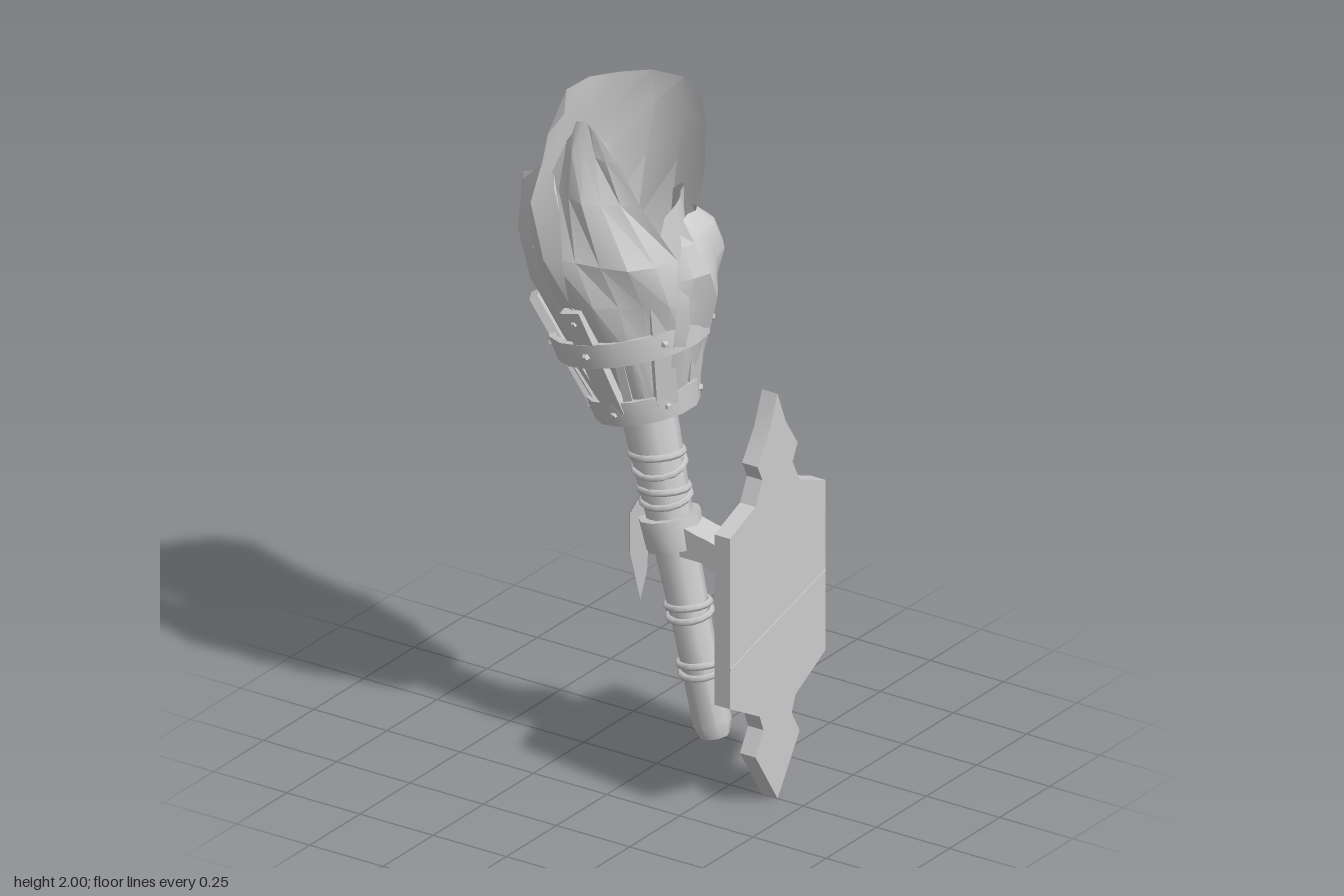
import * as THREE from 'three';
import { toCreasedNormals } from 'three/addons/utils/BufferGeometryUtils.js';

const TILT = 0.235;
const gray = new THREE.MeshStandardMaterial({ color: 0xcccccc, side: THREE.DoubleSide });
gray.name = 'stone gray';

function part(parent, name, geo, crease = 0.6) {
  const mesh = new THREE.Mesh(crease ? toCreasedNormals(geo, crease) : geo, gray);
  mesh.name = name;
  parent.add(mesh);
  return mesh;
}

const shapeOf = (pts) => new THREE.Shape(pts.map(([a, b]) => new THREE.Vector2(a, b)));

// Closed band of given thickness, between two heights and radii
function band(y0, y1, r0, r1, t, sides) {
  const p = [[r0 - t, y0], [r0, y0], [r1, y1], [r1 - t, y1], [r0 - t, y0]];
  return new THREE.LatheGeometry(p.map(([r, y]) => new THREE.Vector2(r, y)), sides);
}

// Curved flame shell; each row is [height, start angle, end angle, radius, centre x, centre z]
function flameGeometry(rows, wobble) {
  const cols = 6, pos = [], idx = [];
  rows.forEach(([y, a0, a1, r, cx, cz], i) => {
    for (let j = 0; j <= cols; j++) {
      const t = j / cols;
      const a = THREE.MathUtils.degToRad(a0 + (a1 - a0) * t);
      const rr = r * (1 + 0.05 * Math.sin(i * 1.9 + j * 1.7 + wobble));
      const drop = i === rows.length - 1 ? 0.04 * (2 * t - 1) ** 4 : 0;
      pos.push(cx + rr * Math.sin(a), y - drop, cz + rr * Math.cos(a));
    }
  });
  for (let i = 0; i < rows.length - 1; i++) {
    for (let j = 0; j < cols; j++) {
      const a = i * (cols + 1) + j, b = a + cols + 1;
      idx.push(a, a + 1, b, a + 1, b + 1, b);
    }
  }
  const g = new THREE.BufferGeometry();
  g.setAttribute('position', new THREE.Float32BufferAttribute(pos, 3));
  g.setIndex(idx);
  return g;
}

function buildTorch(root) {
  const torch = new THREE.Group();
  torch.name = 'torch';
  torch.position.set(0.2, 0.14, 0);
  torch.rotation.z = TILT;
  root.add(torch);

  // Wooden handle running up into the flame
  const profile = [[0, 0], [0.042, 0], [0.056, 0.04], [0.056, 0.3], [0.064, 0.6], [0.08, 0.95], [0.078, 1.55], [0, 1.55]];
  part(torch, 'handle', new THREE.LatheGeometry(profile.map(([r, y]) => new THREE.Vector2(r, y)), 8), 0.8);

  // Cord wraps, slightly askew
  [[0.2, 0.06, 0.12], [0.225, 0.061, -0.06], [0.37, 0.062, 0.1], [0.4, 0.062, -0.06],
    [0.72, 0.069, 0.15], [0.75, 0.07, -0.1], [0.82, 0.073, 0.25], [0.855, 0.075, -0.08]]
    .forEach(([y, r, tip], i) => {
      const wrap = part(torch, 'cordWrap', new THREE.TorusGeometry(r, 0.011, 5, 14), 0);
      wrap.position.y = y;
      wrap.rotation.set(Math.PI / 2 + tip, tip * (i % 2 ? 1 : -0.8), 0);
    });

  // Clamp holding the handle
  part(torch, 'clamp', band(0.575, 0.67, 0.085, 0.09, 0.025, 12));

  // Fire basket hoops; the lower one is thick and reaches the handle
  part(torch, 'lowerHoop', band(0.985, 1.06, 0.15, 0.168, 0.075, 14));
  part(torch, 'upperHoop', band(1.185, 1.26, 0.222, 0.235, 0.02, 16));

  // Wide slats with rivets, and thin stakes between them
  const lean = Math.atan2(0.125, 0.39);
  for (let i = 0; i < 6; i++) {
    const spoke = new THREE.Group();
    spoke.name = 'basketSpoke';
    spoke.rotation.y = i * Math.PI / 3;
    torch.add(spoke);
    const slat = part(spoke, 'slat', new THREE.BoxGeometry(0.066, 0.36, 0.026));
    slat.position.set(0, 1.2, 0.197);
    slat.rotation.x = lean;
    [[1.022, 0.158], [1.222, 0.232], [1.33, 0.252]].forEach(([y, z]) => {
      const rivet = part(spoke, 'rivet', new THREE.CylinderGeometry(0.008, 0.013, 0.014, 5));
      rivet.position.set(0, y, z);
      rivet.rotation.x = Math.PI / 2 + lean;
    });
    [0.36, 0.69].forEach((a, k) => {
      const mount = new THREE.Group();
      mount.name = 'stakeMount';
      mount.rotation.y = a;
      spoke.add(mount);
      const stake = part(mount, 'stake', new THREE.BoxGeometry(0.026, 0.24, 0.02));
      stake.position.set(0, 1.13, 0.166);
      stake.rotation.set(0.34, 0, k ? 0.1 : -0.08);
    });
  }
}

function buildFlames(root) {
  const flames = {
    frontLeftFlame: [[1.15, -70, 5, 0.13, -0.04, 0], [1.35, -72, 5, 0.2, -0.09, 0], [1.5, -72, 0, 0.25, -0.12, 0], [1.63, -72, -2, 0.275, -0.12, 0.01], [1.77, -72, -5, 0.26, -0.14, 0], [1.86, -50, -15, 0.22, -0.14, 0]],
    frontFlame: [[1.15, -15, 75, 0.13, -0.04, 0], [1.35, -15, 78, 0.2, -0.08, 0], [1.5, -20, 78, 0.25, -0.1, 0], [1.63, -30, 72, 0.27, -0.12, 0], [1.8, -40, 48, 0.215, -0.12, 0], [1.92, -45, 28, 0.18, -0.11, -0.01], [2, -42, 5, 0.16, -0.1, -0.02]],
    backFlame: [[1.15, 162, 285, 0.13, -0.04, 0], [1.35, 162, 285, 0.2, -0.09, 0], [1.55, 160, 288, 0.24, -0.13, -0.01], [1.75, 150, 295, 0.245, -0.13, -0.02], [1.9, 148, 302, 0.23, -0.12, -0.06], [2, 153, 305, 0.21, -0.12, -0.08]],
    leftFlame: [[1.2, 245, 298, 0.14, -0.05, 0], [1.4, 245, 298, 0.21, -0.1, 0], [1.52, 250, 294, 0.25, -0.13, 0], [1.64, 262, 284, 0.27, -0.15, 0]],
    rightFlame: [[1.15, 65, 140, 0.13, -0.04, 0], [1.35, 65, 140, 0.21, -0.08, 0], [1.47, 66, 140, 0.26, -0.1, 0], [1.57, 68, 138, 0.275, -0.11, 0], [1.66, 74, 138, 0.24, -0.11, -0.01], [1.71, 82, 135, 0.19, -0.11, -0.02]],
    innerFlame: [[1.2, 60, 175, 0.12, -0.05, 0], [1.4, 60, 175, 0.17, -0.09, -0.01], [1.6, 62, 172, 0.17, -0.11, -0.02], [1.75, 75, 160, 0.15, -0.11, -0.03]],
  };
  Object.entries(flames).forEach(([name, rows], i) => part(root, name, flameGeometry(rows, i * 1.3), 0.5));
}

function buildBracket(root) {
  // Pointed wall plate, outlined on one half and mirrored
  const half = [[0.11, 0.17], [0.07, 0.24], [0.09, 0.29], [0.238, 0.37], [0.238, 0.9], [0.11, 0.95], [0.075, 1.02], [0.1, 1.07], [0.04, 1.16]];
  const outline = [[0, 0], ...half, [0, 1.26], ...half.map(([z, y]) => [-z, y]).reverse()];
  const plate = part(root, 'wallPlate', new THREE.ExtrudeGeometry(shapeOf(outline), { depth: 0.053, bevelEnabled: false }));
  plate.rotation.y = Math.PI / 2;
  plate.position.x = 0.36;

  // Thin diagonal seam on the outer face
  const seam = part(root, 'plateSeam', new THREE.BoxGeometry(0.006, 0.006, 0.49));
  seam.position.set(0.413, 0.555, 0);
  seam.rotation.x = 0.264;

  // Raised inner panel with clipped corners
  const p = [[-0.13, 0.45], [-0.1, 0.42], [0.1, 0.42], [0.13, 0.45], [0.13, 0.83], [0.1, 0.86], [-0.1, 0.86], [-0.13, 0.83]];
  const panel = part(root, 'innerPanel', new THREE.ExtrudeGeometry(shapeOf(p), { depth: 0.012, bevelEnabled: false }));
  panel.rotation.y = Math.PI / 2;
  panel.position.x = 0.35;

  // Rivets on the plate
  [[0, 1.08], [0, 0.2], [0, 0.92], [0, 0.36], [0, 0.8], [0, 0.48],
    ...[-1, 1].flatMap((s) => [[0.185 * s, 0.43], [0.185 * s, 0.64], [0.185 * s, 0.85]])].forEach(([z, y]) => {
    const rivet = part(root, 'plateRivet', new THREE.CylinderGeometry(0.012, 0.019, 0.02, 6));
    rivet.rotation.z = Math.PI / 2;
    rivet.position.set(0.352, y, z);
  });

  // Bent arm from the clamp to the plate
  const arm = new THREE.Shape();
  arm.moveTo(0.1, 0.69);
  arm.lineTo(0.18, 0.69);
  arm.quadraticCurveTo(0.25, 0.66, 0.31, 0.61);
  arm.lineTo(0.35, 0.53);
  arm.lineTo(0.35, 0.685);
  arm.quadraticCurveTo(0.25, 0.765, 0.17, 0.77);
  arm.lineTo(0.11, 0.785);
  arm.closePath();
  const geo = new THREE.ExtrudeGeometry(arm, { depth: 0.096, bevelEnabled: false, curveSegments: 6 });
  geo.translate(0, 0, -0.05);
  part(root, 'bracketArm', geo);
}

function buildRags(root) {
  // Loose cloth ends hanging from the wraps, turned partly to the side
  [[[0.02, 0.87], [-0.03, 0.78], [-0.03, 0.66], [0, 0.51], [0.02, 0.6], [0.025, 0.72], [0.03, 0.86]],
    [[0.02, 0.86], [-0.01, 0.8], [-0.03, 0.72], [0.01, 0.75], [0.04, 0.84]]].forEach((pts, i) => {
    const rag = part(root, 'rag', new THREE.ExtrudeGeometry(shapeOf(pts), { depth: 0.01, bevelEnabled: false }));
    rag.position.set(-0.045, 0, i ? -0.03 : 0.02);
    rag.rotation.y = i ? -0.5 : 0.8;
  });
}

export function createModel() {
  const root = new THREE.Group();
  root.name = 'wallTorch';
  buildTorch(root);
  buildFlames(root);
  buildBracket(root);
  buildRags(root);
  return root;
}
